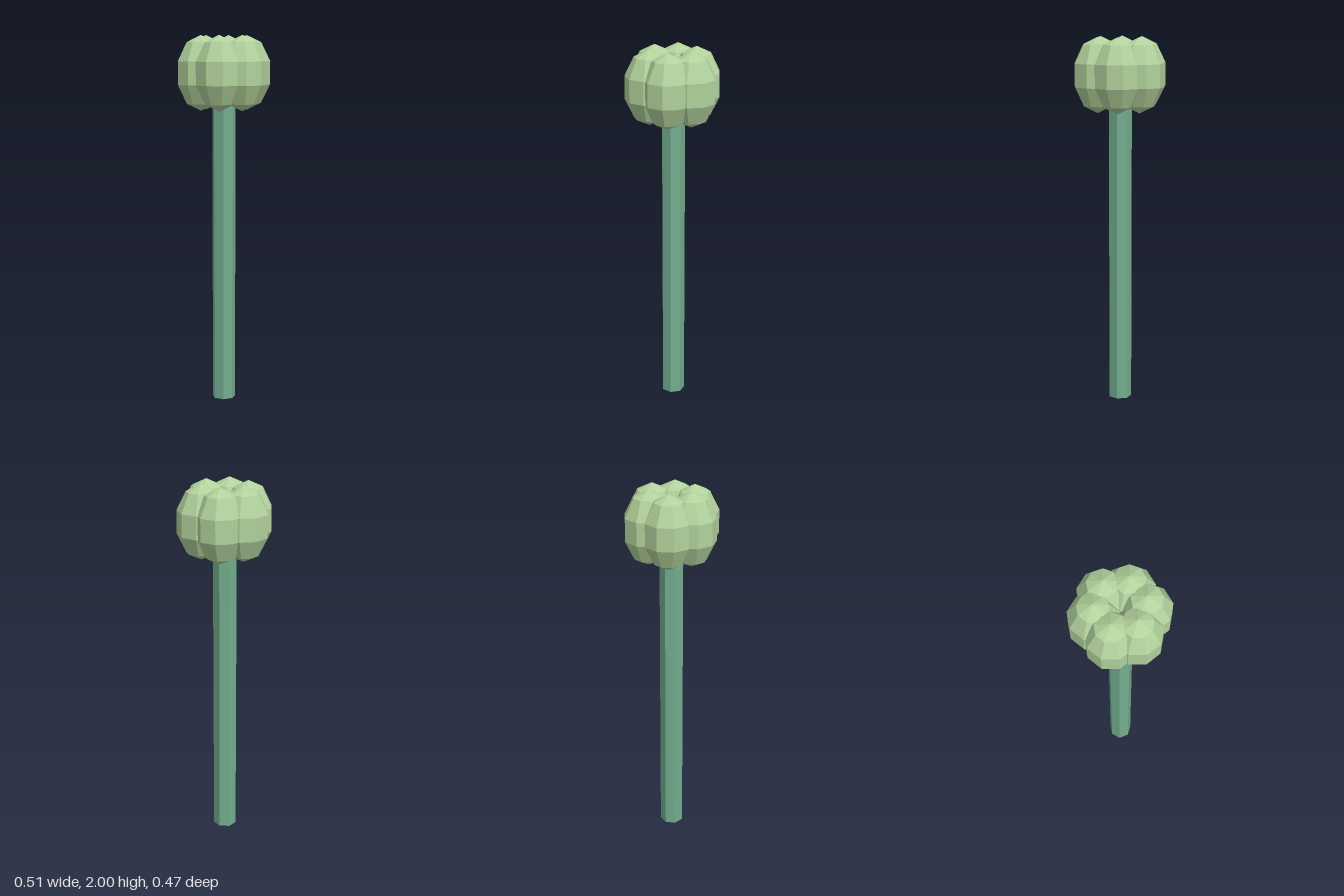
import * as THREE from 'three';

export function createModel() {
  const group = new THREE.Group();
  const podMaterial = new THREE.MeshStandardMaterial({ color: 0xb2d29c, flatShading: true });
  const stemMaterial = new THREE.MeshStandardMaterial({ color: 0x72ae8e, flatShading: true });
  const offsetX = -0.004; // centres the asymmetric nine-sided pods on x = 0

  // Seven-sided stem, its top hidden among the pods
  const stemHeight = 1.7;
  const stemGeometry = new THREE.CylinderGeometry(0.064, 0.064, stemHeight, 7, 1, false, Math.PI / 2);
  const stem = new THREE.Mesh(stemGeometry, stemMaterial);
  stem.name = 'stem';
  stem.position.set(offsetX, stemHeight / 2, 0);
  group.add(stem);

  // Ring of six tall faceted pods, all facing the same way
  const podGeometry = new THREE.SphereGeometry(1, 9, 5, Math.PI);
  podGeometry.scale(0.1346, 0.2, 0.1346);
  const pods = new THREE.Group();
  pods.name = 'podCluster';
  for (let i = 0; i < 6; i++) {
    const angle = (i * Math.PI) / 3;
    const pod = new THREE.Mesh(podGeometry, podMaterial);
    pod.name = `pod${i + 1}`;
    pod.position.set(offsetX + 0.1285 * Math.cos(angle), 1.8, 0.1285 * Math.sin(angle));
    pods.add(pod);
  }
  group.add(pods);

  return group;
}
